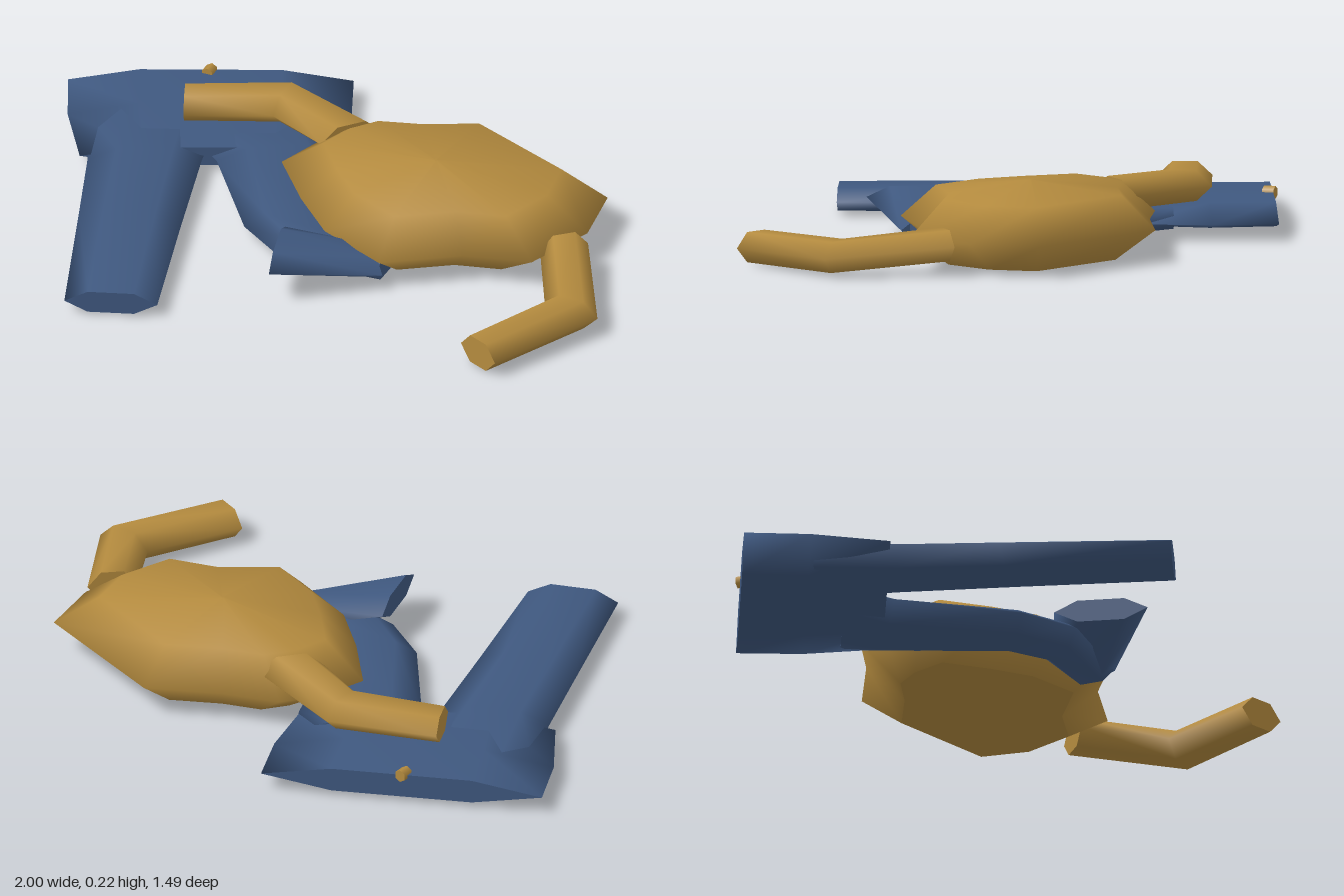
import * as THREE from 'three';

const denim = new THREE.MeshStandardMaterial({ color: 0x3f587f });
denim.name = 'denim blue';
const ochre = new THREE.MeshStandardMaterial({ color: 0xb38a3e });
ochre.name = 'ochre cloth';

// Smooth skin through equal-sized rings, closed with flat end caps
function skin(rings) {
  const n = rings[0].length;
  const pos = rings.flat(2);
  let idx = [];
  for (let r = 0; r < rings.length - 1; r++) {
    for (let i = 0; i < n; i++) {
      const j = (i + 1) % n, a = r * n + i, b = r * n + j;
      idx.push(a, b, b + n, a, b + n, a + n);
    }
  }
  [rings[0], rings[rings.length - 1]].forEach((ring, end) => {
    const c = [0, 1, 2].map((k) => ring.reduce((s, p) => s + p[k], 0) / n);
    const base = pos.length / 3;
    pos.push(...c, ...ring.flat());
    for (let i = 0; i < n; i++) {
      const a = base + 1 + i, b = base + 1 + ((i + 1) % n);
      idx.push(base, ...(end ? [a, b] : [b, a]));
    }
  });
  // turn every face outward
  const v = (i) => new THREE.Vector3().fromArray(pos, i * 3);
  let volume = 0;
  for (let i = 0; i < idx.length; i += 3) volume += v(idx[i]).dot(v(idx[i + 1]).cross(v(idx[i + 2])));
  if (volume < 0) idx = idx.reverse();
  const geo = new THREE.BufferGeometry();
  geo.setAttribute('position', new THREE.Float32BufferAttribute(pos, 3));
  geo.setIndex(idx);
  geo.computeVertexNormals();
  return geo;
}

// Flattened six-sided tube; each section: [ax, az, bx, bz, y, halfHeight]
function cloth(sections, inset = 0.25) {
  return skin(sections.map(([ax, az, bx, bz, y, h]) =>
    [[0, 0], [inset, h], [1 - inset, h], [1, 0], [1 - inset, -h], [inset, -h]]
      .map(([t, dy]) => [ax + (bx - ax) * t, y + dy, az + (bz - az) * t])));
}

export function createModel() {
  const model = new THREE.Group();
  model.name = 'clothesPile';
  const trousers = new THREE.Group();
  trousers.name = 'trousers';
  const jacket = new THREE.Group();
  jacket.name = 'jacket';
  model.add(trousers, jacket);

  const add = (group, name, geo, mat) => {
    const mesh = new THREE.Mesh(geo, mat);
    mesh.name = name;
    group.add(mesh);
    return mesh;
  };

  // Trousers: hips, straight leg, and a bent leg folded back on itself
  add(trousers, 'hips', cloth([
    [-1, -0.41, -0.23, -0.75, 0.05, 0.036],
    [-0.92, -0.23, -0.155, -0.57, 0.048, 0.038],
    [-0.79, -0.03, -0.1, -0.34, 0.046, 0.03],
  ]), denim);
  add(trousers, 'rightLeg', cloth([
    [-0.86, -0.25, -0.5, -0.38, 0.046, 0.03],
    [-0.76, -0.02, -0.45, -0.15, 0.047, 0.038],
    [-0.66, 0.26, -0.35, 0.22, 0.045, 0.037],
    [-0.49, 0.74, -0.23, 0.65, 0.042, 0.034],
  ]), denim);
  add(trousers, 'leftThigh', cloth([
    [-0.55, -0.28, -0.15, -0.45, 0.046, 0.03],
    [-0.41, -0.17, -0.1, -0.36, 0.046, 0.038],
    [-0.18, 0.14, 0.03, 0, 0.046, 0.038],
    [-0.02, 0.25, 0.12, 0.08, 0.046, 0.037],
    [0.29, 0.24, 0.29, 0.1, 0.046, 0.03],
  ]), denim);
  add(trousers, 'leftShin', cloth([
    [-0.03, 0.18, 0.04, 0.45, 0.105, 0.034],
    [0.18, 0.1, 0.31, 0.235, 0.052, 0.032],
  ]), denim);

  // Waist button
  const button = add(trousers, 'waistButton', new THREE.CylinderGeometry(0.019, 0.019, 0.036, 6), ochre);
  button.rotation.x = Math.PI / 2;
  button.position.set(-0.615, 0.085, -0.57);

  // Jacket body: a low mound, its outline scaled about the crown
  const outline = [
    [0.31, -0.57], [0.1, -0.47], [-0.07, -0.42], [-0.15, -0.32], [-0.2, -0.17], [-0.06, 0],
    [0.08, 0.14], [0.3, 0.24], [0.51, 0.1], [0.71, 0.05], [0.79, -0.17], [0.76, -0.38],
  ];
  const ring = (s, y) => outline.map(([x, z]) => [0.3 + (x - 0.3) * s, y, -0.17 + (z + 0.17) * s]);
  add(jacket, 'jacketBody',
    skin([ring(0.68, 0), ring(1, 0.095), ring(0.73, 0.193), ring(0.01, 0.224)]), ochre);

  // Sleeves, bent at the elbow
  add(jacket, 'rightSleeve', cloth([
    [-0.61, -0.39, -0.55, -0.24, 0.128, 0.041],
    [-0.3, -0.51, -0.3, -0.33, 0.14, 0.045],
    [0.03, -0.38, -0.1, -0.23, 0.146, 0.045],
  ], 0.27), ochre);
  add(jacket, 'leftSleeve', cloth([
    [0.68, 0.49, 0.82, 0.555, 0.05, 0.045],
    [0.82, 0.2, 0.995, 0.21, 0.058, 0.046],
    [0.7, -0.03, 0.81, -0.13, 0.087, 0.046],
  ], 0.27), ochre);

  return model;
}
